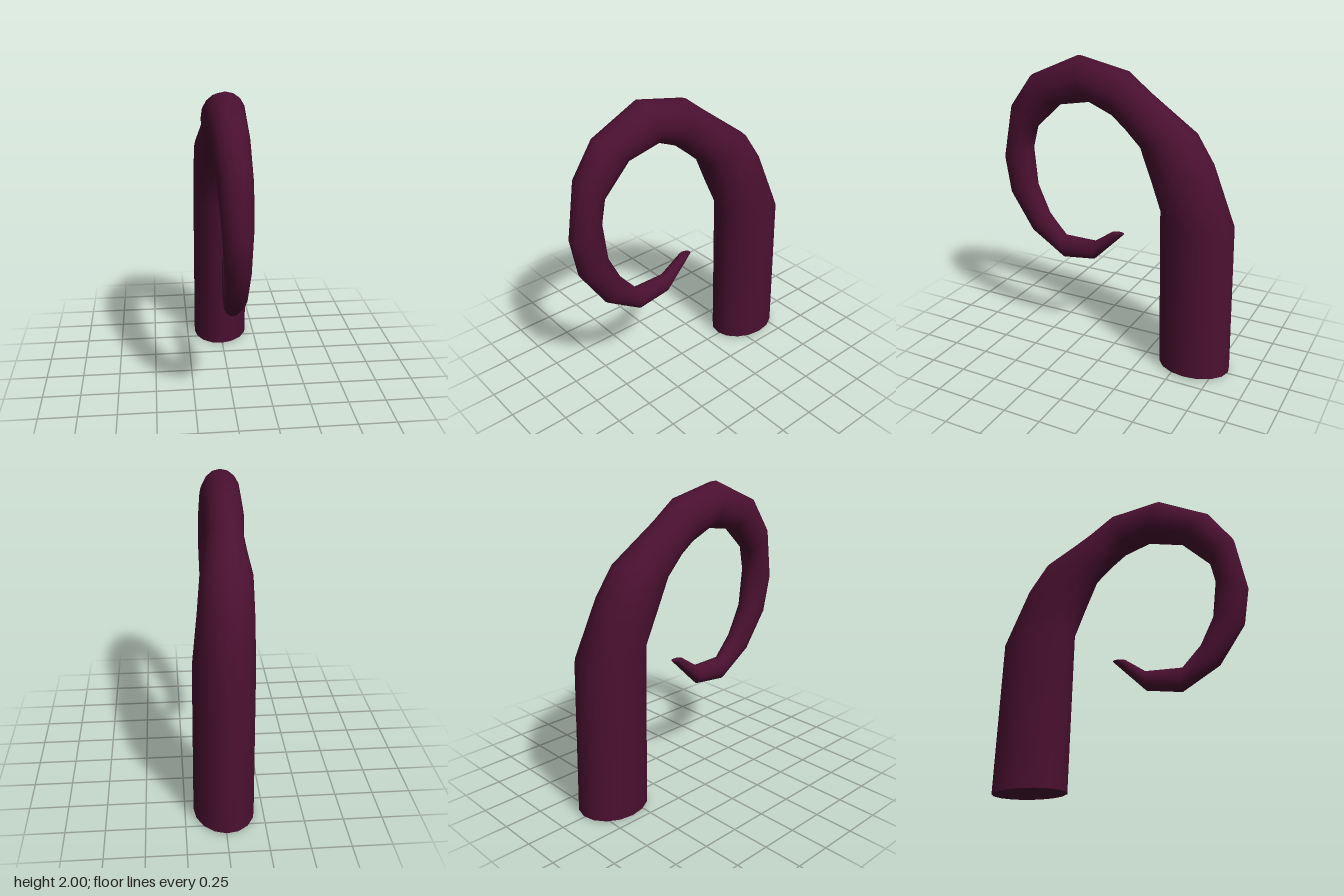
import * as THREE from 'three';

const SIDES = 16;

// Cross-sections from root to tip:
// [outer z, outer y, inner z, inner y, centre x, half width]
const RINGS = [
  [-0.84, 0.01, -0.36, 0.01, 0.00, 0.195],
  [-0.82, 1.01, -0.34, 1.10, 0.00, 0.19],
  [-0.66, 1.40, -0.26, 1.28, -0.02, 0.172],
  [-0.54, 1.58, -0.18, 1.47, -0.03, 0.16],
  [-0.22, 1.81, -0.07, 1.565, -0.035, 0.118],
  [-0.06, 1.93, 0.02, 1.64, -0.04, 0.125],
  [0.28, 2.00, 0.18, 1.71, -0.04, 0.127],
  [0.62, 1.85, 0.41, 1.67, -0.03, 0.112],
  [0.77, 1.64, 0.60, 1.49, -0.02, 0.103],
  [0.84, 1.27, 0.63, 1.35, -0.01, 0.092],
  [0.80, 1.02, 0.60, 1.09, -0.005, 0.08],
  [0.63, 0.76, 0.51, 0.90, 0.00, 0.07],
  [0.38, 0.60, 0.39, 0.76, 0.00, 0.06],
  [0.15, 0.63, 0.15, 0.76, 0.00, 0.05],
  [-0.07, 0.85, 0.02, 0.85, 0.00, 0.03],
];

// Points of one elliptical cross-section; the root is cut slightly askew
function ringPoints([oz, oy, iz, iy, cx, w], index) {
  const points = [];
  for (let j = 0; j < SIDES; j++) {
    const a = (j / SIDES) * Math.PI * 2;
    const c = Math.cos(a) / 2;
    const x = cx + w * Math.sin(a);
    const tilt = index === 0 ? x * 0.05 : 0;
    points.push([x, (oy + iy) / 2 + (oy - iy) * c + tilt, (oz + iz) / 2 + (oz - iz) * c]);
  }
  return points;
}

function makeGeometry(points, index) {
  const g = new THREE.BufferGeometry();
  g.setAttribute('position', new THREE.Float32BufferAttribute(points.flat(), 3));
  g.setIndex(index);
  g.computeVertexNormals();
  return g;
}

// Flat fan closing one end
function capGeometry(points, flip) {
  const centre = [0, 1, 2].map((k) => points.reduce((s, p) => s + p[k], 0) / SIDES);
  const index = [];
  for (let j = 0; j < SIDES; j++) {
    const n = (j + 1) % SIDES;
    index.push(SIDES, flip ? n : j, flip ? j : n);
  }
  return makeGeometry([...points, centre], index);
}

export function createModel() {
  const group = new THREE.Group();
  group.name = 'curledTentacle';
  const material = new THREE.MeshStandardMaterial({ color: 0x4a1030 });
  const add = (name, geometry) => {
    const mesh = new THREE.Mesh(geometry, material);
    mesh.name = name;
    group.add(mesh);
  };

  // Smooth skin joining all the cross-sections
  const rings = RINGS.map(ringPoints);
  const index = [];
  for (let i = 0; i < rings.length - 1; i++) {
    for (let j = 0; j < SIDES; j++) {
      const n = (j + 1) % SIDES;
      const a = i * SIDES + j, b = i * SIDES + n;
      index.push(a, a + SIDES, b, b, a + SIDES, b + SIDES);
    }
  }
  add('tentacle', makeGeometry(rings.flat(), index));

  // Closed ends
  add('rootCap', capGeometry(rings[0], false));
  add('tipCap', capGeometry(rings[rings.length - 1], true));
  return group;
}
